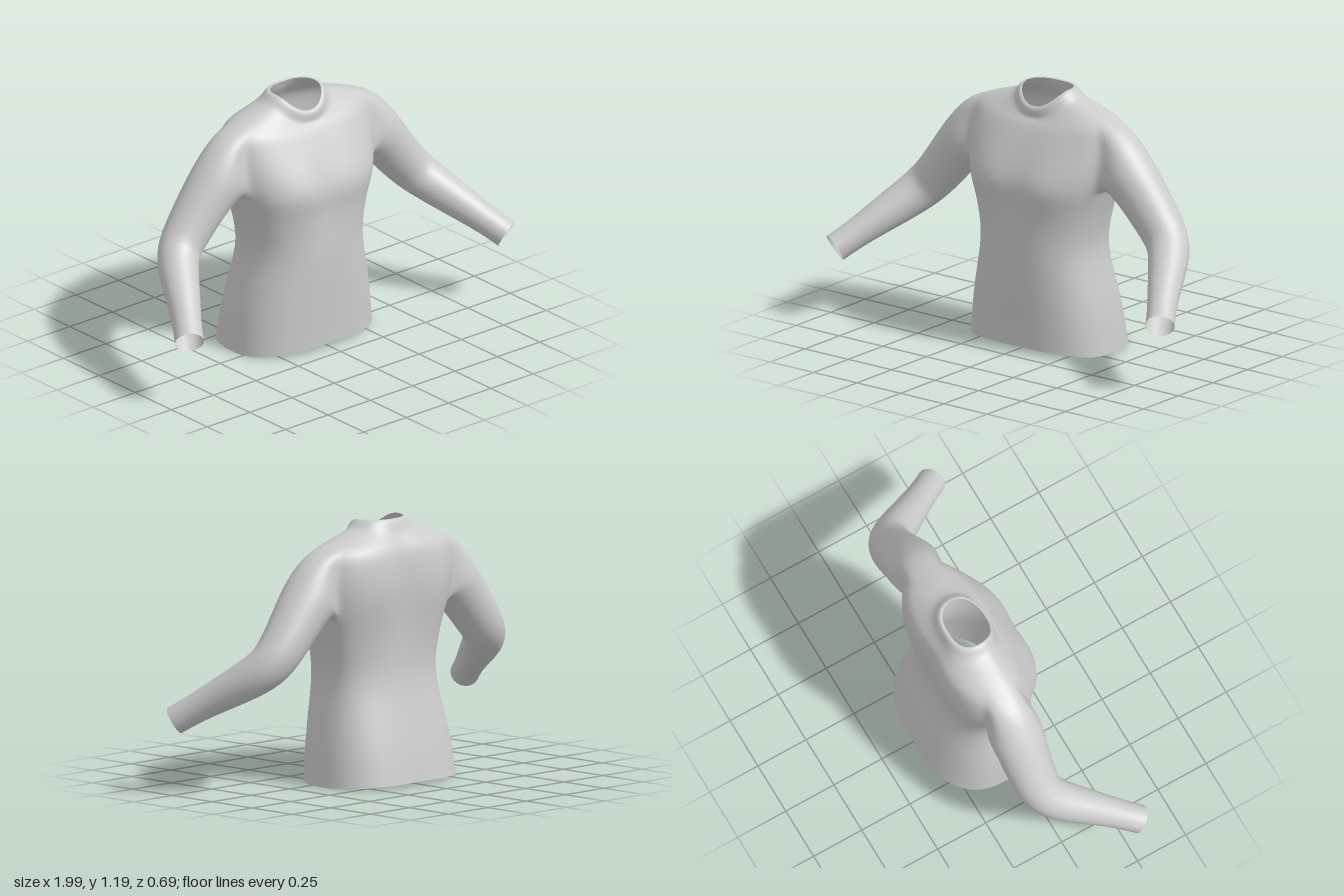
import * as THREE from 'three';

const COLS = 96, SUB = 3, HALF = 6;      // columns round the body, rows per ring, half armhole width
const ARM_LOW = 6 * SUB, ARM_TOP = 10 * SUB; // armhole rows

// Body rings: half width, front z, back z, y at front, y at side, y at back
const BODY = [
  [0.37, 0.185, -0.345, 0.03, 0.006, 0.02],
  [0.355, 0.19, -0.31, 0.2, 0.2, 0.2],
  [0.315, 0.195, -0.258, 0.38, 0.38, 0.38],
  [0.298, 0.195, -0.236, 0.5, 0.5, 0.5],
  [0.317, 0.195, -0.238, 0.61, 0.61, 0.61],
  [0.34, 0.203, -0.248, 0.7, 0.7, 0.7],
  [0.362, 0.216, -0.262, 0.78, 0.77, 0.78],
  [0.385, 0.185, -0.275, 0.86, 0.86, 0.87],
  [0.395, 0.14, -0.275, 0.94, 0.95, 0.95],
  [0.39, 0.1, -0.265, 1.01, 1.03, 1.03],
  [0.365, 0.078, -0.248, 1.045, 1.09, 1.08],
  [0.28, 0.066, -0.226, 1.058, 1.125, 1.11],
  [0.2, 0.058, -0.205, 1.067, 1.15, 1.14],
  [0.162, 0.052, -0.192, 1.078, 1.167, 1.168],
  [0.136, 0.056, -0.176, 1.112, 1.2, 1.202],
  [0.12, 0.04, -0.16, 1.125, 1.2, 1.197],
];

// Sleeve centre line and radius, shoulder to wrist
const SLEEVE = [
  [0.36, 0.945, -0.07, 0.15],
  [0.45, 0.875, -0.072, 0.13],
  [0.53, 0.79, -0.075, 0.118],
  [0.62, 0.68, -0.075, 0.108],
  [0.7, 0.59, -0.055, 0.1],
  [0.765, 0.52, 0.03, 0.09],
  [0.82, 0.46, 0.12, 0.079],
  [0.88, 0.395, 0.215, 0.068],
  [0.935, 0.335, 0.3, 0.066],
];

// Smooth interpolation through the rows of a table
function sample(rows, t) {
  const n = rows.length - 1, i = Math.min(Math.floor(t), n - 1), f = t - i;
  const at = (k) => rows[Math.max(0, Math.min(n, k))];
  return rows[0].map((_, c) => {
    const [p, q, r, s] = [at(i - 1)[c], at(i)[c], at(i + 1)[c], at(i + 2)[c]];
    return q + 0.5 * f * (r - p + f * (2 * p - 5 * q + 4 * r - s + f * (3 * (q - r) + s - p)));
  });
}

const bell = (v, centre, width) => Math.exp(-(((v - centre) / width) ** 2));
const soft = (v, e) => Math.sign(v) * Math.abs(v) ** e;

function bodyPoint(row, col) {
  const [w, zf, zb, yf, ys, yb] = sample(BODY, row / SUB);
  const a = (col / COLS) * Math.PI * 2, c = Math.cos(a), s = Math.sin(a);
  const e = row > ARM_TOP ? 0.9 : 0.8, mid = -0.07;
  const x = w * soft(c, e);
  const y = ys + ((s > 0 ? yf : yb) - ys) * s * s;
  let z = mid + (s > 0 ? zf - mid : mid - zb) * soft(s, e);
  // hollow between the chest halves, groove down the spine
  if (s > 0) z -= 0.022 * bell(x, 0, 0.08) * bell(y, 0.78, 0.16) * s;
  else z -= (0.035 * bell(y, 0.88, 0.22) + 0.01 * bell(y, 0.1, 0.3)) * bell(x, 0, 0.07) * s;
  return new THREE.Vector3(x, y, z);
}

function sleevePoint(t, angle) {
  const [x, y, z, r] = sample(SLEEVE, t);
  const end = SLEEVE.length - 1;
  const p0 = sample(SLEEVE, Math.max(0, t - 0.4)), p1 = sample(SLEEVE, Math.min(end, t + 0.4));
  const T = new THREE.Vector3(p1[0] - p0[0], p1[1] - p0[1], p1[2] - p0[2]).normalize();
  const V = new THREE.Vector3(0, 0, 1).addScaledVector(T, -T.z).normalize();
  const U = new THREE.Vector3().crossVectors(V, T);
  return new THREE.Vector3(x, y, z)
    .addScaledVector(V, r * Math.cos(angle)).addScaledVector(U, r * Math.sin(angle));
}

// Relax inner vertices so the sleeves flow into the body; open edges stay put
function relax(points, faces, passes) {
  const near = points.map(() => new Map());
  for (let i = 0; i < faces.length; i += 3) {
    for (let k = 0; k < 3; k++) {
      const a = faces[i + k], b = faces[i + ((k + 1) % 3)];
      near[a].set(b, (near[a].get(b) || 0) + 1);
      near[b].set(a, (near[b].get(a) || 0) + 1);
    }
  }
  const pinned = near.map((m) => m.size === 0 || [...m.values()].includes(1));
  for (let n = 0; n < passes; n++) {
    const next = points.map((p, i) => {
      if (pinned[i]) return p;
      const mean = new THREE.Vector3();
      for (const j of near[i].keys()) mean.add(points[j]);
      return p.clone().lerp(mean.divideScalar(near[i].size), 0.5);
    });
    next.forEach((p, i) => { points[i] = p; });
  }
}

export function createModel() {
  const points = [], body = [], sleeves = { 1: [], '-1': [] };
  const rows = (BODY.length - 1) * SUB;
  const quad = (list, a, b, up, upB, flip) =>
    flip ? list.push(a, b, up, b, upB, up) : list.push(a, up, b, b, up, upB);

  // body with an armhole on each side
  for (let r = 0; r <= rows; r++) for (let c = 0; c < COLS; c++) points.push(bodyPoint(r, c));
  const id = (r, c) => r * COLS + ((c + COLS) % COLS);
  for (let r = 0; r < rows; r++) {
    for (let c = 0; c < COLS; c++) {
      const fromSide = (v) => Math.abs(((v + COLS / 4) % (COLS / 2)) - COLS / 4);
      if (r >= ARM_LOW && r < ARM_TOP && fromSide(c + 0.5) < HALF) continue;
      quad(body, id(r, c), id(r, c + 1), id(r + 1, c), id(r + 1, c + 1), false);
    }
  }

  // sleeves grown from the rim of each armhole
  for (const side of [1, -1]) {
    const rim = (r, k) => id(r, side > 0 ? k : COLS / 2 - k);
    let ring = [];
    for (let r = ARM_LOW; r < ARM_TOP; r++) ring.push(rim(r, HALF));
    for (let k = HALF; k > -HALF; k--) ring.push(rim(ARM_TOP, k));
    for (let r = ARM_TOP; r > ARM_LOW; r--) ring.push(rim(r, -HALF));
    for (let k = -HALF; k < HALF; k++) ring.push(rim(ARM_LOW, k));
    const count = ring.length, start = ring.map((i) => points[i].clone());
    const addRing = (place) => {
      const next = ring.map((_, k) => {
        const p = place(k, (k / count) * Math.PI * 2 - Math.PI / 4);
        return points.push(p) - 1;
      });
      for (let k = 0; k < count; k++) {
        const m = (k + 1) % count;
        quad(sleeves[side], ring[k], ring[m], next[k], next[m], side < 0);
      }
      ring = next;
    };
    const mirrored = (t, a) => {
      const p = sleevePoint(t, a);
      p.x *= side;
      return p;
    };
    // rounded shoulder cap
    for (let f = 0.2; f < 0.95; f += 0.2) {
      addRing((k, a) => {
        const p = start[k].clone().lerp(mirrored(1, a), f);
        p.y += 0.03 * Math.sin(Math.PI * f) * Math.max(0, Math.sin(a));
        return p;
      });
    }
    // arm down to the open cuff
    for (let n = 4; n <= (SLEEVE.length - 1) * 4; n++) addRing((k, a) => mirrored(n / 4, a));
  }

  const all = [...body, ...sleeves[1], ...sleeves[-1]];
  relax(points, all, 5);

  // shared normals keep the joins smooth
  const whole = new THREE.BufferGeometry().setFromPoints(points);
  whole.setIndex(all);
  whole.computeVertexNormals();

  const cloth = new THREE.MeshStandardMaterial({ color: 0xcccccc, side: THREE.DoubleSide });
  cloth.name = 'light grey cloth';
  const group = new THREE.Group();
  group.name = 'longSleevedShirt';
  const parts = { body, leftSleeve: sleeves[1], rightSleeve: sleeves[-1] };
  for (const [name, faces] of Object.entries(parts)) {
    const geometry = new THREE.BufferGeometry();
    geometry.setAttribute('position', whole.getAttribute('position'));
    geometry.setAttribute('normal', whole.getAttribute('normal'));
    geometry.setIndex(faces);
    const mesh = new THREE.Mesh(geometry, cloth);
    mesh.name = name;
    group.add(mesh);
  }
  return group;
}
